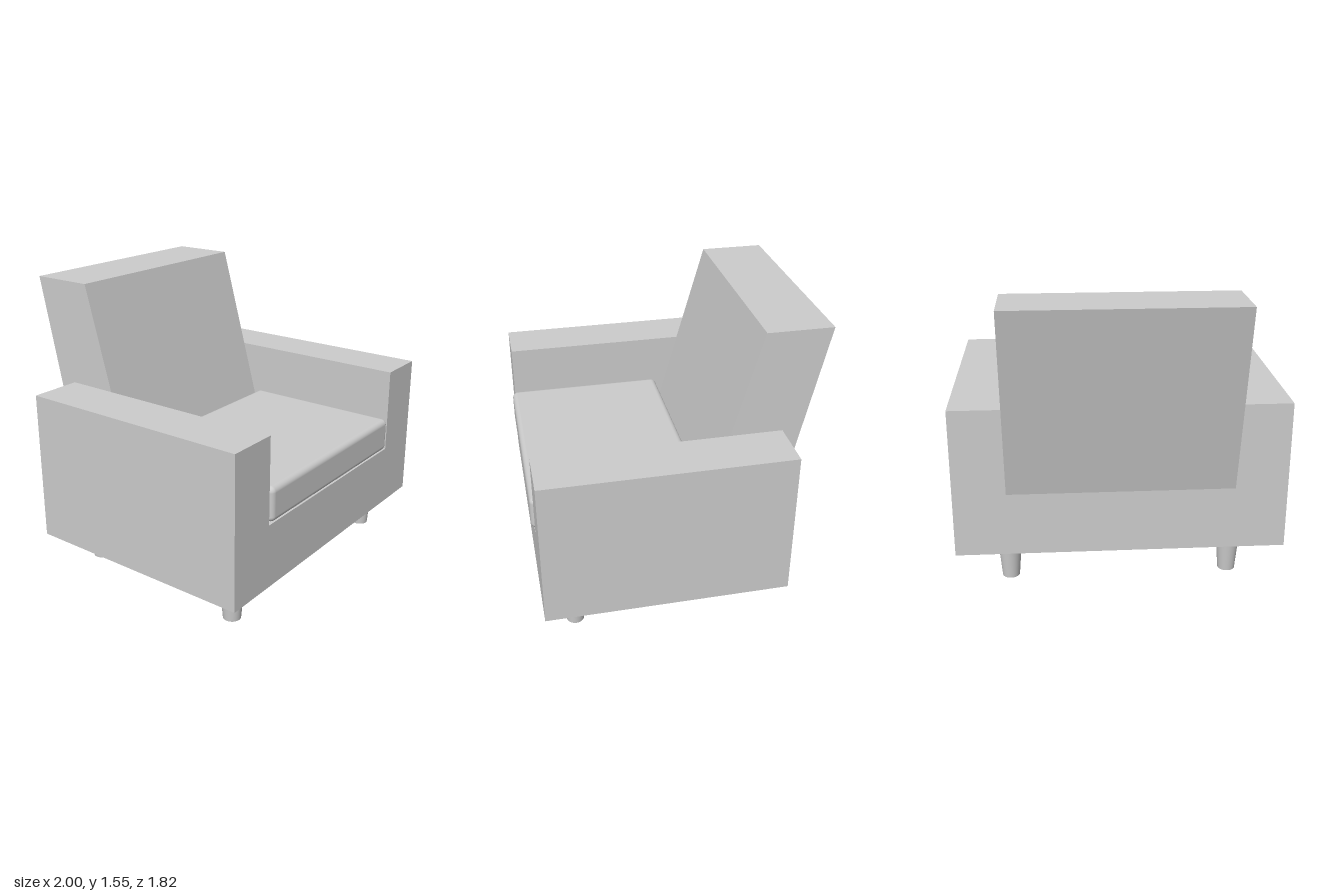
import * as THREE from 'three';
import { RoundedBoxGeometry } from 'three/addons/geometries/RoundedBoxGeometry.js';

const WIDTH = 1.727, DEPTH = 1.278;
const INNER = 0.59;              // half the width between the arms
const FLOOR = 0.2, SEAT = 0.54, ARM = 1.0, TOP = 1.55;

export function createModel() {
  const material = new THREE.MeshStandardMaterial({ color: 0xcccccc });
  const model = new THREE.Group();
  model.name = 'armchair';

  // The whole chair is turned about the vertical
  const chair = new THREE.Group();
  chair.name = 'turnedChair';
  chair.position.z = 0.07;
  chair.rotation.y = THREE.MathUtils.degToRad(15);
  model.add(chair);

  const add = (name, geometry, x = 0, y = 0, z = 0) => {
    const mesh = new THREE.Mesh(geometry, material);
    mesh.name = name;
    mesh.position.set(x, y, z);
    chair.add(mesh);
    return mesh;
  };
  const extrude = (points, depth) => new THREE.ExtrudeGeometry(
    new THREE.Shape(points.map(([x, y]) => new THREE.Vector2(x, y))),
    { depth, bevelEnabled: false }
  ).translate(0, 0, -depth / 2);

  // Base and both arms: a U section running front to back
  const w = WIDTH / 2;
  add('baseAndArms', extrude([
    [-w, FLOOR], [w, FLOOR], [w, ARM], [INNER, ARM],
    [INNER, SEAT], [-INNER, SEAT], [-INNER, ARM], [-w, ARM],
  ], DEPTH));

  // Backrest: leaning side profile (z, y), slightly thinner at the top
  add('backrest', extrude([
    [-DEPTH / 2, SEAT], [-0.24, SEAT], [-0.52, TOP], [-0.86, TOP],
  ], INNER * 2).rotateY(-Math.PI / 2));

  // Loose seat cushion, a little off centre and past the front edge
  add('seatCushion', new RoundedBoxGeometry(1.155, 0.185, 0.885, 4, 0.03), -0.012, 0.642, 0.213);

  // Tapered legs, the front pair set wider
  for (const side of [-1, 1]) {
    for (const [name, x, z] of [['frontLeg', 0.652, 0.467], ['backLeg', 0.588, -0.5]]) {
      add(name, new THREE.CylinderGeometry(0.063, 0.046, FLOOR, 32), side * x, FLOOR / 2, z);
    }
  }
  return model;
}
